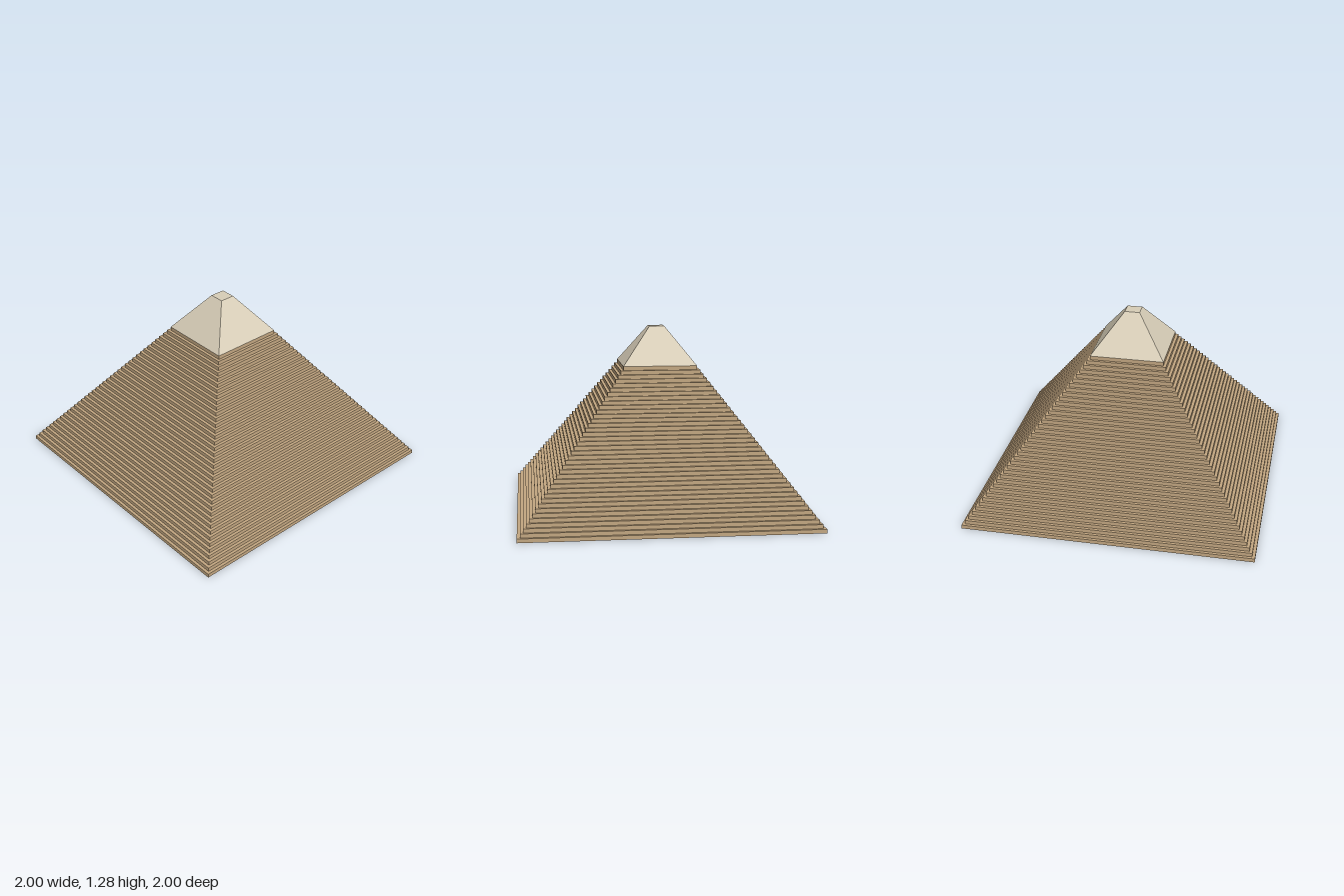
import * as THREE from 'three';

const COURSES = 38;          // number of stone steps
const STEP_HEIGHT = 1.0215 / COURSES;
const STEP_DEPTH = 0.0201;
const CAP_HEIGHT = 0.263;
const CAP_TOP = 0.052;       // half width of the flat summit

export function createModel() {
  const model = new THREE.Group();
  model.name = 'steppedPyramid';

  const sandstone = new THREE.MeshStandardMaterial({
    color: 0xc4a882, flatShading: true, side: THREE.DoubleSide,
  });
  sandstone.name = 'sandstone';
  const limestone = new THREE.MeshStandardMaterial({ color: 0xd8ceb8, flatShading: true });
  limestone.name = 'paleLimestone';

  // Hollow stepped shell: a riser and tread profile swept round four sides
  const profile = [];
  for (let i = 0; i < COURSES; i++) {
    const corner = (1 - i * STEP_DEPTH) * Math.SQRT2;
    profile.push(new THREE.Vector2(corner, i * STEP_HEIGHT));
    profile.push(new THREE.Vector2(corner, (i + 1) * STEP_HEIGHT));
  }
  const steps = new THREE.Mesh(new THREE.LatheGeometry(profile, 4, Math.PI / 4), sandstone);
  steps.name = 'stoneSteps';
  model.add(steps);

  // Smooth casing at the summit, a square frustum on the top course
  const capBase = 1 - (COURSES - 1) * STEP_DEPTH;
  const cap = new THREE.Mesh(
    new THREE.CylinderGeometry(CAP_TOP * Math.SQRT2, capBase * Math.SQRT2, CAP_HEIGHT, 4, 1, false, Math.PI / 4),
    limestone,
  );
  cap.position.y = COURSES * STEP_HEIGHT + CAP_HEIGHT / 2;
  cap.name = 'summitCasing';
  model.add(cap);

  return model;
}
